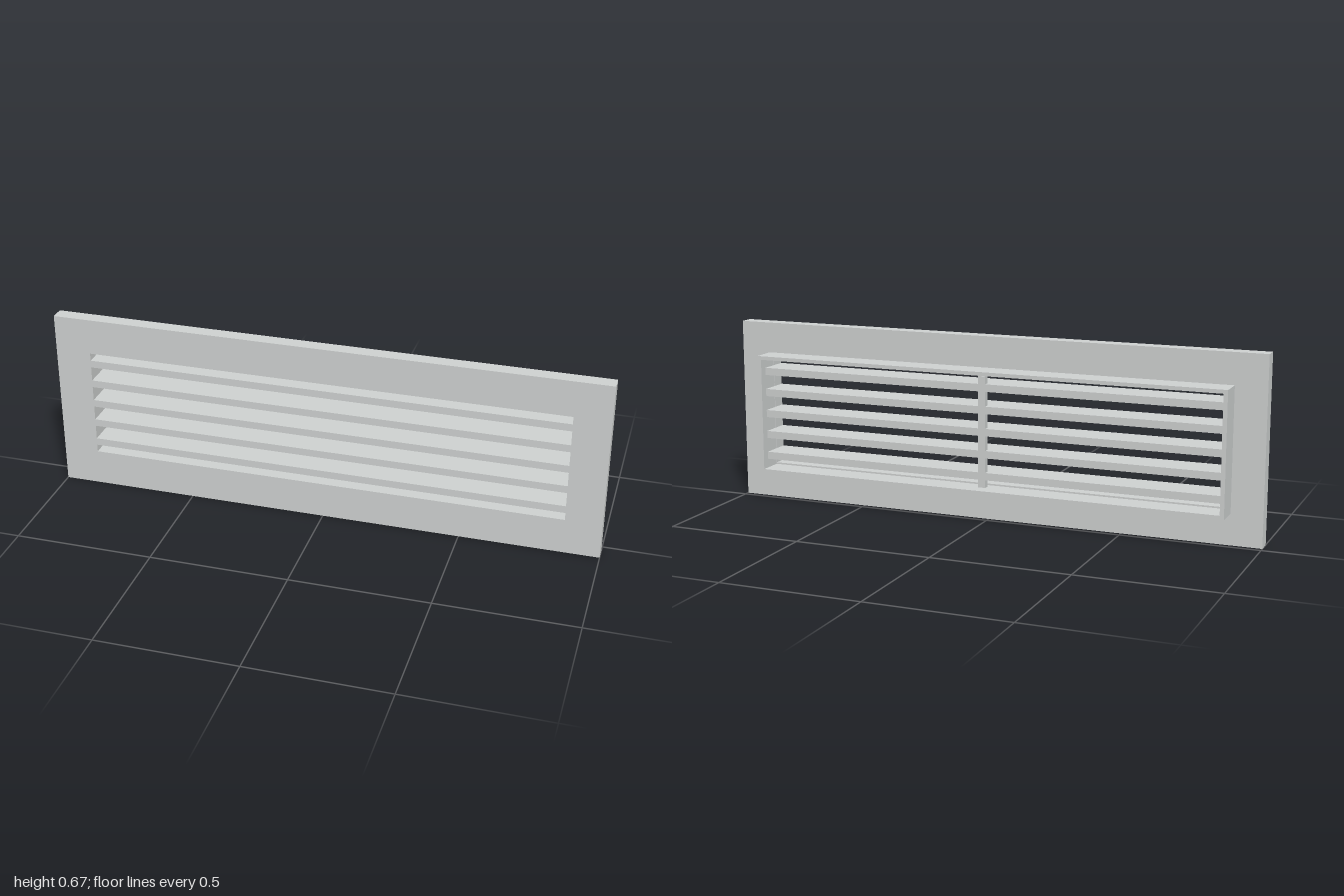
import * as THREE from 'three';

const WIDTH = 2, HEIGHT = 0.667, MID_Y = HEIGHT / 2;
const FRONT = 0.072, PLATE_BACK = 0.02, COLLAR_BACK = -0.072, BLADE_BACK = -0.045;
const OPEN_W = 1.74, OPEN_H = 0.403;
const PITCH = 0.08, BLADE_T = 0.027, BLADES = 5;
const MULLION_W = 0.027, MULLION_FRONT = BLADE_BACK + 0.02;

// Rectangular ring extruded from z0 to z1
function frame(w, h, innerW, innerH, z0, z1) {
  const trace = (path, a, b) => {
    path.moveTo(-a / 2, -b / 2);
    path.lineTo(a / 2, -b / 2);
    path.lineTo(a / 2, b / 2);
    path.lineTo(-a / 2, b / 2);
    path.closePath();
    return path;
  };
  const shape = trace(new THREE.Shape(), w, h);
  shape.holes.push(trace(new THREE.Path(), innerW, innerH));
  const geo = new THREE.ExtrudeGeometry(shape, { depth: z1 - z0, bevelEnabled: false });
  return geo.translate(0, MID_Y, z0);
}

export function createModel() {
  const group = new THREE.Group();
  group.name = 'ventGrille';
  const metal = new THREE.MeshStandardMaterial({ color: 0xd0d3d2 });
  metal.name = 'light grey metal';

  const add = (name, geo) => {
    const mesh = new THREE.Mesh(geo, metal);
    mesh.name = name;
    group.add(mesh);
  };
  const box = (name, w, y0, y1, z0, z1) =>
    add(name, new THREE.BoxGeometry(w, y1 - y0, z1 - z0).translate(0, (y0 + y1) / 2, (z0 + z1) / 2));

  // Face plate and the thin collar behind it
  add('facePlate', frame(WIDTH, HEIGHT, OPEN_W, OPEN_H, PLATE_BACK, FRONT));
  add('rearCollar', frame(1.774, 0.442, 1.744, 0.415, COLLAR_BACK, PLATE_BACK));

  // Horizontal blades, flush with the face, with mullion pieces in the gaps
  let gapStart = MID_Y - OPEN_H / 2;
  for (let i = 0; i < BLADES; i++) {
    const y = MID_Y + (i - (BLADES - 1) / 2) * PITCH;
    box('blade' + (i + 1), OPEN_W, y - BLADE_T / 2, y + BLADE_T / 2, BLADE_BACK, FRONT);
    box('mullion' + (i + 1), MULLION_W, gapStart, y - BLADE_T / 2, BLADE_BACK, MULLION_FRONT);
    gapStart = y + BLADE_T / 2;
  }
  box('mullionTop', MULLION_W, gapStart, MID_Y + OPEN_H / 2, BLADE_BACK, MULLION_FRONT);

  return group;
}
